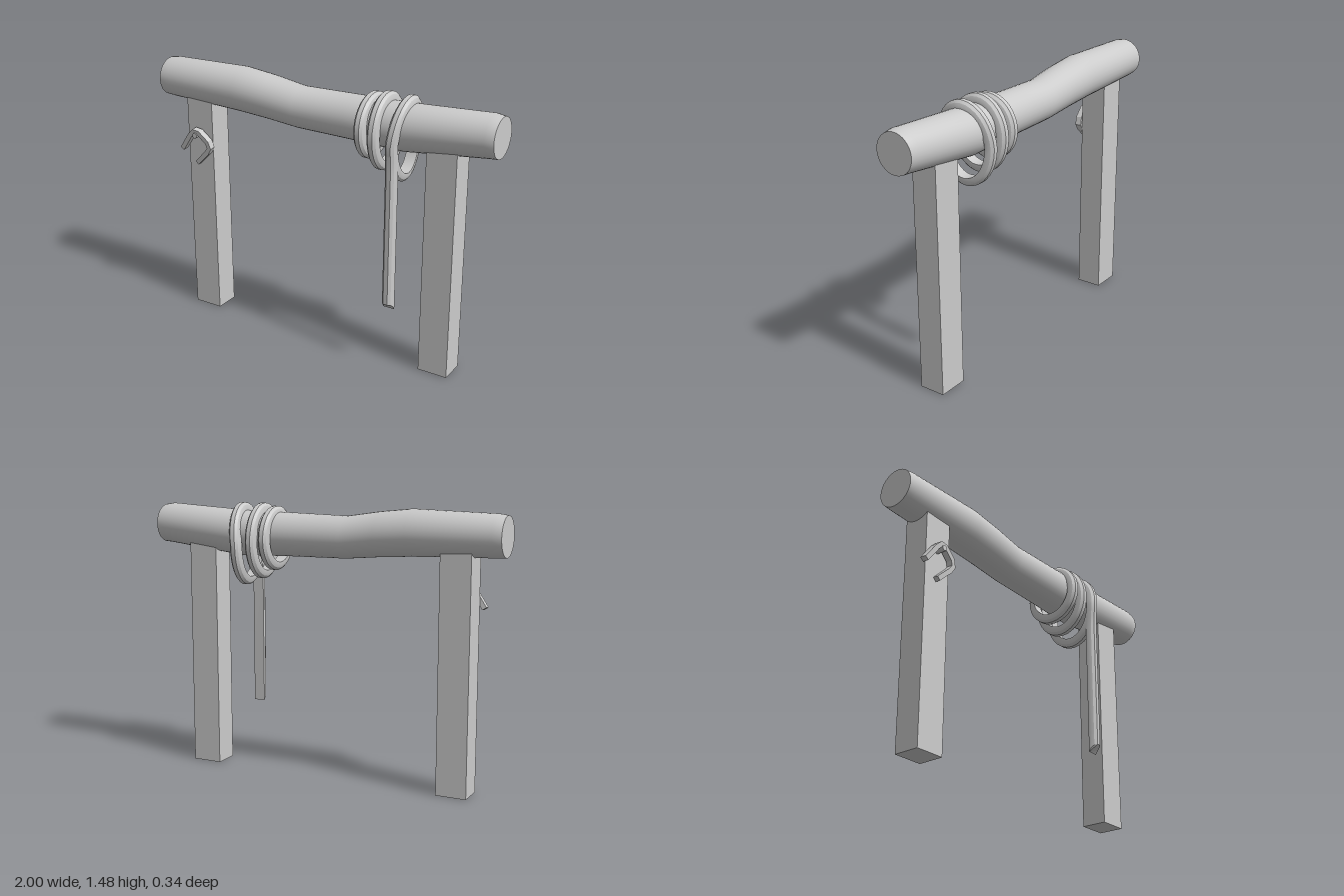
import * as THREE from 'three';
import { toCreasedNormals } from 'three/addons/utils/BufferGeometryUtils.js';

const material = new THREE.MeshStandardMaterial({ color: 0xcccccc });

function add(group, name, geometry, x = 0, y = 0, z = 0) {
  const mesh = new THREE.Mesh(geometry, material);
  mesh.name = name;
  mesh.position.set(x, y, z);
  group.add(mesh);
  return mesh;
}

// Rope section: u across the rope, d outward from its flat inner face
const ropeSection = [
  [-0.031, 0], [-0.031, 0.016], [-0.025, 0.032], [-0.012, 0.045],
  [0.012, 0.045], [0.025, 0.032], [0.031, 0.016], [0.031, 0],
];

// Sweeps the rope section along points that run mainly in the y-z plane
function sweepRope(path, closed) {
  const n = path.length, m = ropeSection.length;
  const positions = [], index = [];
  path.forEach((p, i) => {
    const before = path[closed ? (i + n - 1) % n : Math.max(i - 1, 0)];
    const after = path[closed ? (i + 1) % n : Math.min(i + 1, n - 1)];
    const tz = after.z - before.z, ty = after.y - before.y;
    const len = Math.hypot(tz, ty);
    for (const [u, d] of ropeSection) {
      // the loose end is cut at a slant with rounded corners
      const cut = !closed && i === 0 ? d * 1.4 + u * u * 30 : 0;
      positions.push(p.x + u, p.y - (d * tz) / len + cut, p.z + (d * ty) / len);
    }
  });
  for (let i = 0; i < (closed ? n : n - 1); i++) {
    for (let j = 0; j < m; j++) {
      const a = i * m + j, b = i * m + ((j + 1) % m);
      const c = ((i + 1) % n) * m + ((j + 1) % m), d = ((i + 1) % n) * m + j;
      index.push(a, b, c, a, c, d);
    }
  }
  if (!closed) {
    const e = (n - 1) * m;
    for (let k = 1; k < m - 1; k++) index.push(0, k + 1, k, e, e + k, e + k + 1);
  }
  const geometry = new THREE.BufferGeometry();
  geometry.setAttribute('position', new THREE.Float32BufferAttribute(positions, 3));
  geometry.setIndex(index);
  return toCreasedNormals(geometry, 0.4);
}

// Oval around the rail, starting at the front and rising
function oval(x, cy, ry, rz, lean, count) {
  return Array.from({ length: count }, (_, i) => {
    const a = (i / count) * Math.PI * 2;
    const s = Math.sin(a), c = Math.cos(a);
    return new THREE.Vector3(x + lean * Math.max(0, s) - lean * 0.4 * Math.max(0, -c), cy + ry * s, rz * c);
  });
}

// Crooked log: x, centre height, radius
function railGeometry() {
  const stations = [
    [-1, 1.345, 0.105], [-0.95, 1.347, 0.11], [-0.5, 1.346, 0.122], [-0.32, 1.331, 0.118],
    [-0.13, 1.308, 0.112], [0.18, 1.31, 0.117], [0.5, 1.31, 0.124], [0.95, 1.349, 0.111], [1, 1.347, 0.105],
  ];
  const n = stations.length - 1;
  const geometry = new THREE.CylinderGeometry(1, 1, 2, 32, n);
  geometry.rotateZ(-Math.PI / 2);
  const p = geometry.attributes.position;
  for (let i = 0; i < p.count; i++) {
    const [x, cy, r] = stations[Math.round(((p.getX(i) + 1) / 2) * n)];
    p.setXYZ(i, x, cy + p.getY(i) * r, p.getZ(i) * r);
  }
  return toCreasedNormals(geometry, 0.6);
}

// Bent strap outline, thickened to both sides of its centre line
function strapGeometry(width, depth) {
  const line = [
    [-0.105, -0.03], [-0.04, 0.062], [-0.012, 0.09], [0.018, 0.086],
    [0.073, 0.038], [0.084, 0.004], [0.067, -0.024], [-0.01, -0.1],
  ];
  const side = (s) => line.map(([x, y], i) => {
    const a = line[Math.max(i - 1, 0)], b = line[Math.min(i + 1, line.length - 1)];
    const tx = b[0] - a[0], ty = b[1] - a[1], k = (s * width) / 2 / Math.hypot(tx, ty);
    return new THREE.Vector2(x - ty * k, y + tx * k);
  });
  const shape = new THREE.Shape([...side(1), ...side(-1).reverse()]);
  return new THREE.ExtrudeGeometry(shape, { depth, bevelEnabled: false });
}

export function createModel() {
  const group = new THREE.Group();
  group.name = 'hitchingRail';

  // Square posts running up into the log
  for (const [name, x] of [['rightPost', -0.757], ['leftPost', 0.72]]) {
    add(group, name, new THREE.BoxGeometry(0.166, 1.32, 0.142), x, 0.66, 0);
  }
  add(group, 'rail', railGeometry());

  // Two rope coils
  add(group, 'ropeCoilSmall', sweepRope(oval(0.297, 1.287, 0.128, 0.122, 0, 32), true));
  add(group, 'ropeCoilLarge', sweepRope(oval(0.375, 1.27, 0.16, 0.125, 0, 32), true));

  // Last coil, whose end hangs down in front
  const hanging = [[0.315, 0.115], [0.45, 0.115], [1.1, 0.115], [1.18, 0.118]]
    .map(([y, z]) => new THREE.Vector3(0.478, y, z));
  const coil = oval(0.478, 1.25, 0.18, 0.125, 0.025, 32);
  add(group, 'ropeHangingEnd', sweepRope([...hanging, ...coil, coil[0].clone()], false));

  // Bent strap hung on a peg, leaning back against the post
  const strap = add(group, 'strapHook', strapGeometry(0.026, 0.036), -0.76, 1.0, 0.074);
  strap.rotation.x = 0.1;
  const peg = new THREE.CylinderGeometry(0.015, 0.015, 0.065, 12).rotateX(Math.PI / 2);
  add(group, 'peg', peg, -0.76, 1.065, 0.092);

  return group;
}
